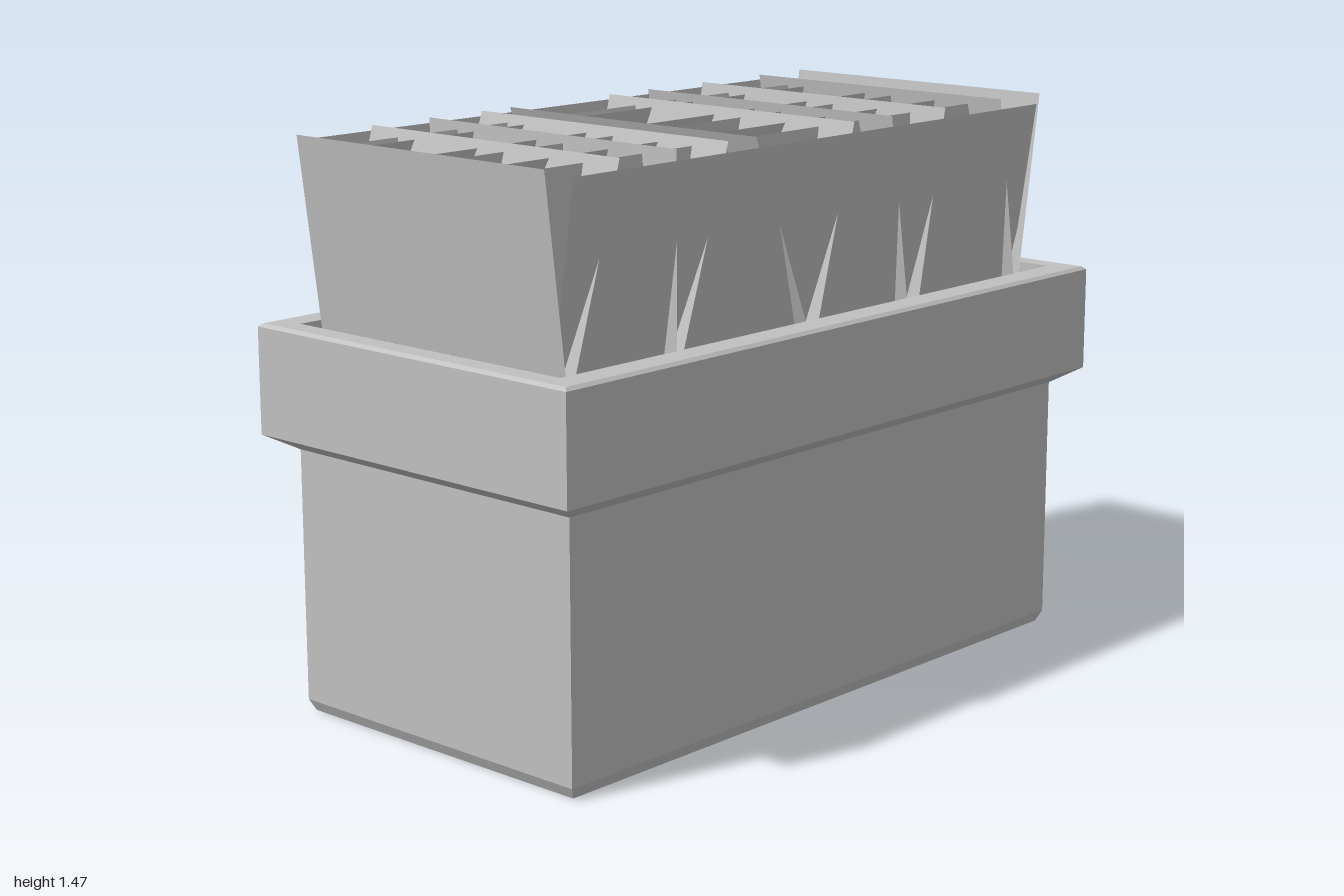
import * as THREE from 'three';

const SOIL = 0.92;

// Loft of rectangles, each [half width x, y, half depth z], with flat faces
function rectLoft(rings) {
  const corners = rings.map(([hx, y, hz]) => [[hx, y, hz], [hx, y, -hz], [-hx, y, -hz], [-hx, y, hz]]);
  const pos = [];
  for (let i = 0; i < corners.length - 1; i++) {
    for (let k = 0; k < 4; k++) {
      const n = (k + 1) % 4;
      const a = corners[i][k], b = corners[i][n], c = corners[i + 1][n], d = corners[i + 1][k];
      pos.push(...a, ...b, ...c, ...a, ...c, ...d);
    }
  }
  const geo = new THREE.BufferGeometry();
  geo.setAttribute('position', new THREE.Float32BufferAttribute(pos, 3));
  geo.computeVertexNormals();
  return geo;
}

// Leaning flat card: two bottom corners, two top corners
function cardGeometry(a, b, c, d) {
  const geo = new THREE.BufferGeometry();
  geo.setAttribute('position', new THREE.Float32BufferAttribute([...a, ...b, ...c, ...a, ...c, ...d], 3));
  geo.computeVertexNormals();
  return geo;
}

export function createModel() {
  const group = new THREE.Group();
  const grey = new THREE.MeshStandardMaterial({ color: 0xc0c0c0 });
  grey.name = 'plainGrey';
  grey.side = THREE.DoubleSide;

  const add = (name, geo, parent = group) => {
    const mesh = new THREE.Mesh(geo, grey);
    mesh.name = name;
    parent.add(mesh);
    return mesh;
  };

  // Planter box: bevelled foot, straight walls, flared rim, inner lip
  add('planterBox', rectLoft([
    [0, 0, 0], [0.915, 0, 0.455], [0.93, 0.03, 0.467], [0.93, 0.68, 0.467],
    [1, 0.72, 0.53], [1, 0.992, 0.53], [0.99, 1, 0.52],
    [0.934, 1, 0.447], [0.934, SOIL, 0.447],
  ]));

  // Soil surface
  const soil = add('soil', new THREE.PlaneGeometry(1.868, 0.894).rotateX(-Math.PI / 2));
  soil.position.y = SOIL;

  // Plant cards in V pairs: [bottom, top] offsets across each card
  const plants = new THREE.Group();
  plants.name = 'plantCards';
  group.add(plants);
  const base = SOIL - 0.005;

  // Cards running along the box, leaning forward or back
  const lengthwise = [
    [-0.37, -0.46], [-0.37, -0.26], [-0.17, -0.32], [-0.17, -0.04],
    [0.05, 0.05], [0.05, 0.2], [0.37, 0.31], [0.37, 0.45],
  ];
  for (const [z0, z1] of lengthwise) {
    add('lengthwiseCard', cardGeometry(
      [-0.89, base, z0], [0.86, base, z0], [0.86, 1.447, z1], [-0.89, 1.447, z1]), plants);
  }

  // Cards running across the box, leaning left or right
  const crosswise = [
    [-0.88, -0.95], [-0.88, -0.71], [-0.52, -0.52], [-0.52, -0.34], [-0.02, -0.24],
    [-0.02, 0.13], [0.365, 0.28], [0.39, 0.5], [0.83, 0.74], [0.83, 0.915],
  ];
  for (const [x0, x1] of crosswise) {
    add('crosswiseCard', cardGeometry(
      [x0, base, 0.42], [x0, base, -0.42], [x1, 1.468, -0.42], [x1, 1.468, 0.42]), plants);
  }
  return group;
}
